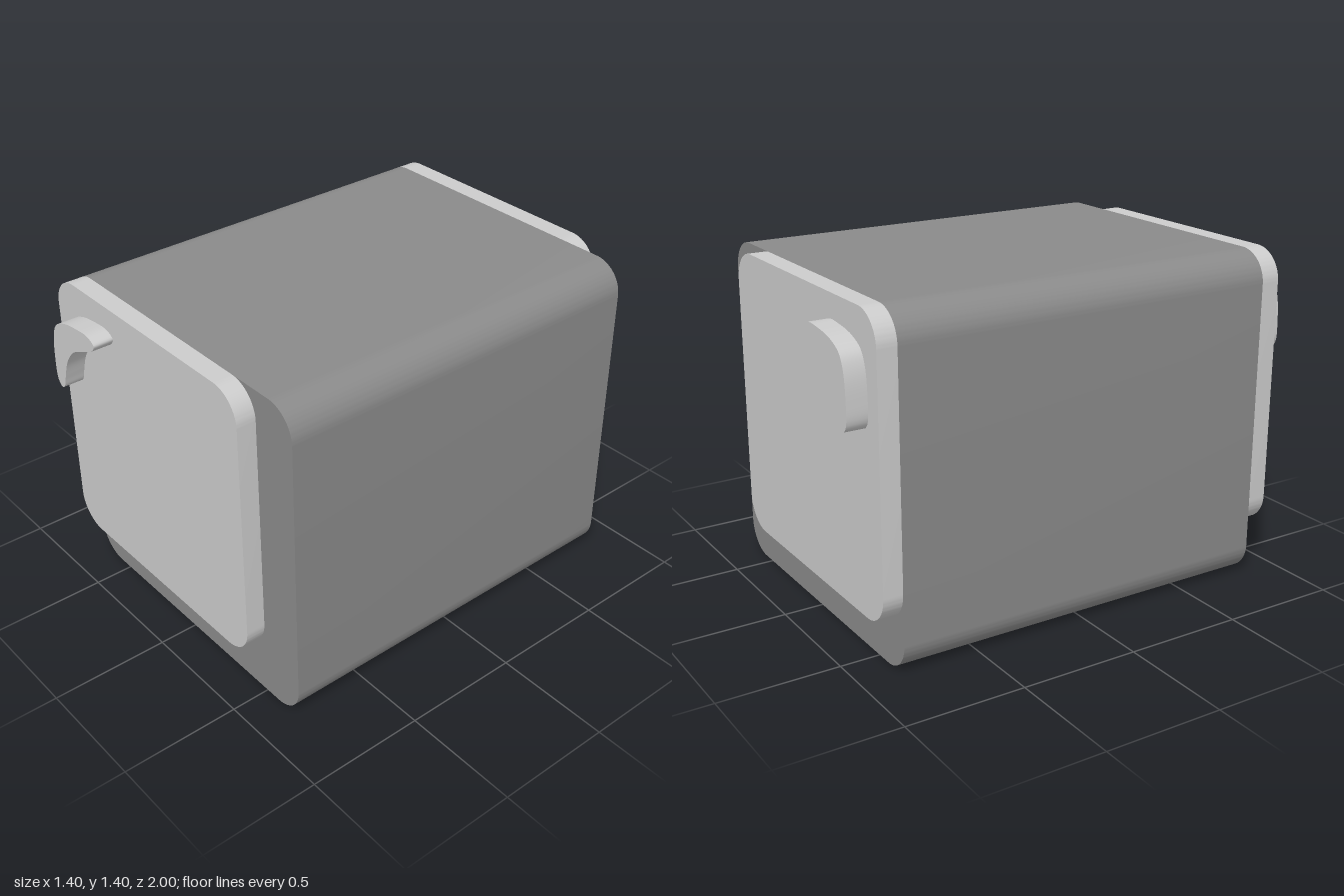
import * as THREE from 'three';
import { toCreasedNormals } from 'three/addons/utils/BufferGeometryUtils.js';

const lightGrey = new THREE.MeshStandardMaterial({ color: 0xcccccc });
const darkGrey = new THREE.MeshStandardMaterial({ color: 0x8a8a8a });

// Rectangle with rounded corners, from its outer bounds
function roundedRect(x0, y0, x1, y1, r) {
  const s = new THREE.Shape();
  s.absarc(x1 - r, y0 + r, r, -Math.PI / 2, 0);
  s.absarc(x1 - r, y1 - r, r, 0, Math.PI / 2);
  s.absarc(x0 + r, y1 - r, r, Math.PI / 2, Math.PI);
  s.absarc(x0 + r, y0 + r, r, Math.PI, Math.PI * 1.5);
  s.closePath();
  return s;
}

// Straight extrusion of a shape between two depths
function slab(name, shape, z0, z1, material) {
  const geo = new THREE.ExtrudeGeometry(shape, {
    depth: z1 - z0, bevelEnabled: false, curveSegments: 14,
  });
  geo.translate(0, 0, z0);
  const mesh = new THREE.Mesh(toCreasedNormals(geo, 0.6), material);
  mesh.name = name;
  return mesh;
}

export function createModel() {
  const group = new THREE.Group();
  group.name = 'roundedBlock';

  const bodyEnd = 0.833, panelEnd = 0.915;
  const radius = 0.13;

  // Main body
  group.add(slab('body', roundedRect(-0.7, 0, 0.7, 1.405, radius), -bodyEnd, bodyEnd, darkGrey));

  // Curved highlight outline
  const outline = new THREE.CatmullRomCurve3([
    [-0.595, 0.963], [-0.62, 0.99], [-0.625, 1.08], [-0.613, 1.19], [-0.584, 1.25],
    [-0.517, 1.286], [-0.42, 1.303], [-0.34, 1.305], [-0.299, 1.282], [-0.315, 1.254],
    [-0.386, 1.219], [-0.47, 1.176], [-0.527, 1.105], [-0.558, 1.019], [-0.573, 0.975],
  ].map(([x, y]) => new THREE.Vector3(x, y, 0)), true);
  const highlight = new THREE.Shape(
    outline.getPoints(70).slice(0, -1).map((p) => new THREE.Vector2(p.x, p.y)).reverse());

  // Raised panel and highlight on both ends
  const panel = roundedRect(-0.7, 0.21, 0.495, 1.405, radius);
  for (const [side, s] of [['front', 1], ['back', -1]]) {
    const span = (a, b) => (s > 0 ? [a, b] : [-b, -a]);
    group.add(slab(side + 'Panel', panel, ...span(bodyEnd, panelEnd), lightGrey));
    group.add(slab(side + 'Highlight', highlight, ...span(panelEnd, 1), lightGrey));
  }
  return group;
}
